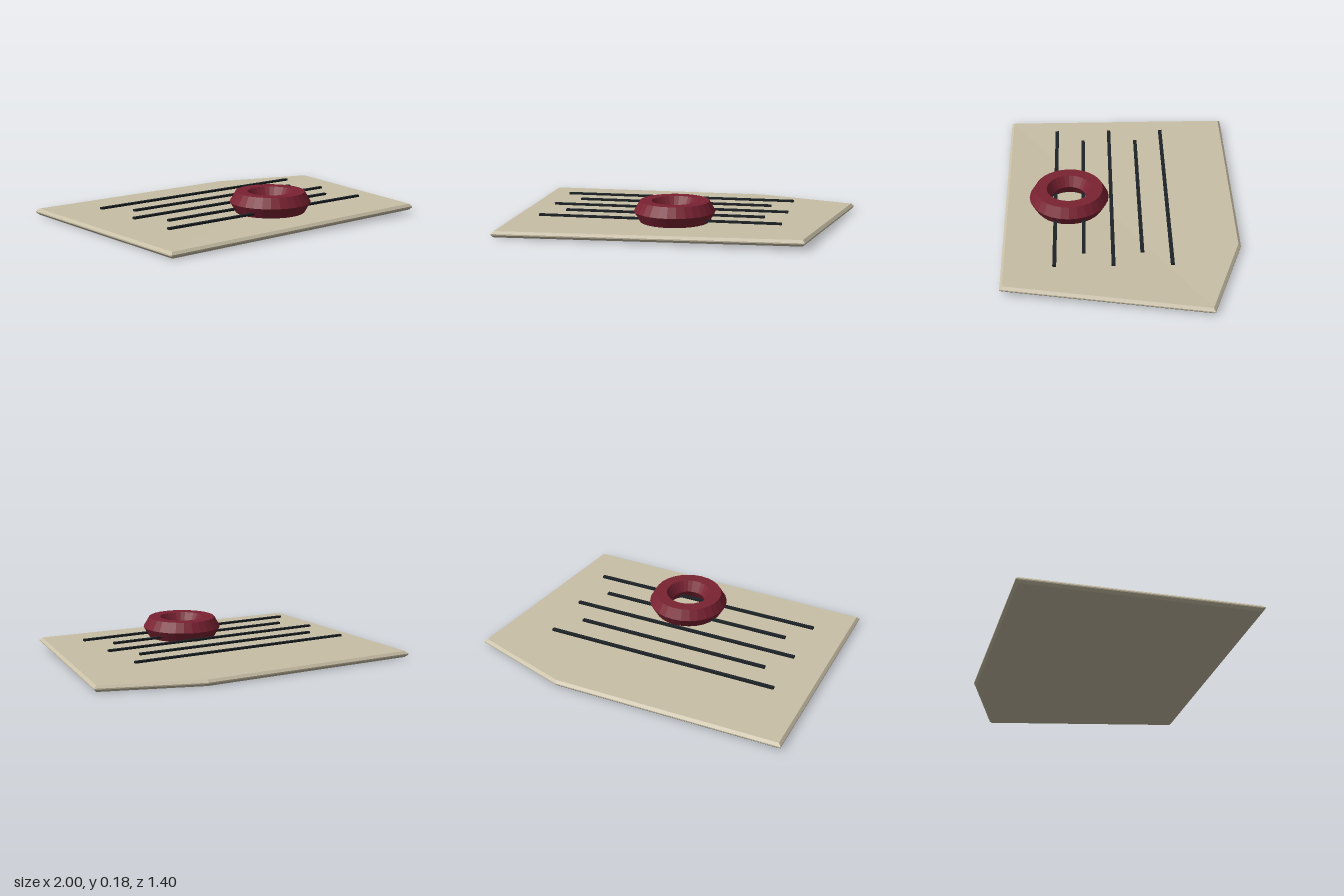
import * as THREE from 'three';

const material = (color) => new THREE.MeshStandardMaterial({ color, flatShading: true });

function add(group, name, geometry, mat) {
  const mesh = new THREE.Mesh(geometry, mat);
  mesh.name = name;
  group.add(mesh);
  return mesh;
}

// Thin bevelled sheet with a cut corner and one slightly lifted corner
function sheetGeometry() {
  const outline = [[-1, -0.7], [0.8, -0.7], [1, 0.5], [0.4, 0.7], [-1, 0.7]];
  const shape = new THREE.Shape(outline.map(([x, y]) => new THREE.Vector2(x, y)));
  const bevel = 0.015;
  const geometry = new THREE.ExtrudeGeometry(shape, {
    depth: 0.007, bevelThickness: bevel, bevelSize: bevel, bevelOffset: -bevel, bevelSegments: 1,
  });
  geometry.rotateX(-Math.PI / 2).translate(0, bevel, 0);
  const pos = geometry.attributes.position;
  for (let i = 0; i < pos.count; i++) {
    if (pos.getX(i) > 0.7 && pos.getZ(i) > 0.6) pos.setY(i, pos.getY(i) + 0.022);
  }
  geometry.computeVertexNormals();
  return geometry;
}

export function createModel() {
  const model = new THREE.Group();
  model.name = 'sealedNote';

  add(model, 'paperSheet', sheetGeometry(), material(0xc8bfa6));

  // Written lines, alternating long and short
  const ink = material(0x1c2226);
  const lines = new THREE.Group();
  lines.name = 'inkLines';
  model.add(lines);
  for (let i = 0; i < 5; i++) {
    const length = i % 2 ? 1.2 : 1.44;
    const line = add(lines, `inkLine${i + 1}`, new THREE.BoxGeometry(length, 0.012, 0.022), ink);
    line.position.set(-0.08, 0.081, -0.283 + i * 0.169);
  }

  // Six-sided wax ring lying on the sheet
  const seal = add(model, 'waxSeal', new THREE.TorusGeometry(0.17, 0.07, 6, 28), material(0x7a2232));
  seal.rotation.x = Math.PI / 2;
  seal.position.set(0, 0.118, 0.31);

  return model;
}
